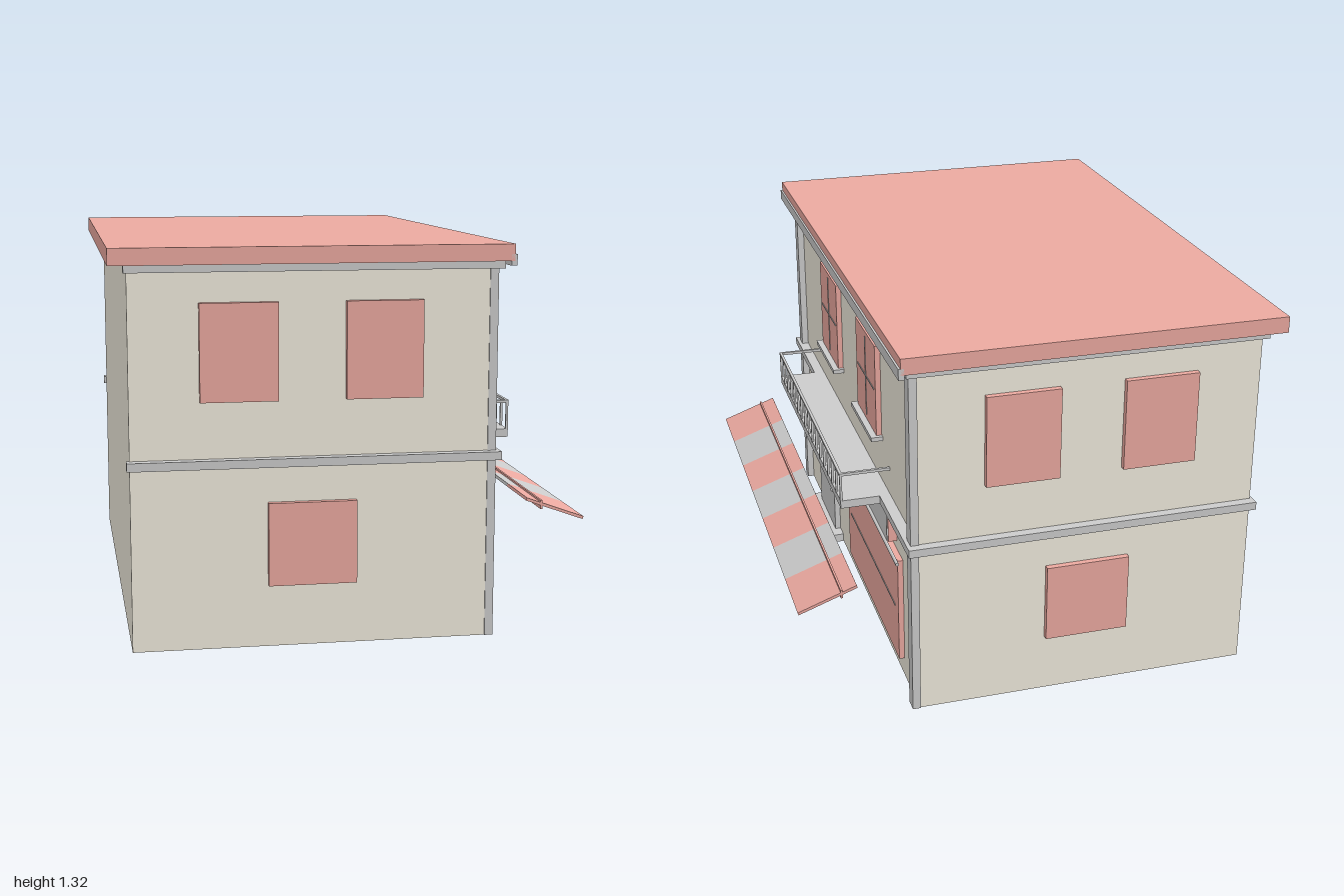
import * as THREE from 'three';

const mat = (color) => new THREE.MeshStandardMaterial({ color });

export function createModel() {
  const house = new THREE.Group();
  house.name = 'house';
  const grey = mat(0xcccccc), red = mat(0xeba9a0), cream = mat(0xf0ebdd);

  // Box given by its minimum and maximum on each axis
  const box = (name, material, x0, x1, y0, y1, z0, z1, parent = house) => {
    const mesh = new THREE.Mesh(new THREE.BoxGeometry(x1 - x0, y1 - y0, z1 - z0), material);
    mesh.position.set((x0 + x1) / 2, (y0 + y1) / 2, (z0 + z1) / 2);
    mesh.name = name;
    parent.add(mesh);
    return mesh;
  };

  // Main body and roof
  box('walls', cream, -0.75, 0.425, 0.015, 1.25, -0.94, 0.94);
  box('roof', red, -0.81, 0.487, 1.27, 1.325, -1, 1);
  box('gutter', grey, 0.475, 0.494, 1.255, 1.292, -1, 1);

  // Belt course and cornice: three sides, open at the rear wall
  for (const [name, y0, y1] of [['beltCourse', 0.617, 0.645], ['cornice', 1.245, 1.27]]) {
    box(name + 'Facade', grey, 0.42, 0.463, y0, y1, -0.973, 0.973);
    for (const s of [-1, 1]) {
      const z = [s * 0.93, s * 0.973].sort((a, b) => a - b);
      box(name + 'Side', grey, -0.76, 0.42, y0, y1, z[0], z[1]);
    }
  }

  // Parts mirrored on both end walls
  for (const s of [-1, 1]) {
    const pillar = [s * 0.895, s * 0.944].sort((a, b) => a - b);
    box('cornerPillar', grey, 0.422, 0.45, 0.015, 1.25, ...pillar);
    const pane = [s * 0.93, s * 0.961].sort((a, b) => a - b);
    box('upperSideWindow', red, -0.525, -0.272, 0.83, 1.147, ...pane);
    box('upperSideWindow', red, -0.052, 0.2, 0.83, 1.147, ...pane);
    box('lowerSideWindow', red, -0.307, -0.016, 0.222, 0.497, ...pane);
  }

  // Upper facade windows with glazing bars and sills
  for (const z of [0.315, -0.312]) {
    box('facadeWindow', red, 0.42, 0.444, 0.82, 1.153, z - 0.146, z + 0.146);
    box('windowBarVertical', grey, 0.44, 0.446, 0.84, 1.135, z - 0.003, z + 0.003);
    box('windowBarHorizontal', grey, 0.44, 0.446, 0.985, 0.991, z - 0.125, z + 0.125);
    box('windowSill', grey, 0.42, 0.466, 0.806, 0.821, z - 0.161, z + 0.161);
  }

  // Shop front: window, door, step and sign board
  box('shopWindow', red, 0.42, 0.444, 0.085, 0.475, -0.735, 0.058);
  box('shopWindowBar', grey, 0.44, 0.446, 0.275, 0.281, -0.69, 0.01);
  box('door', grey, 0.42, 0.446, 0.003, 0.475, 0.332, 0.615);
  const handle = new THREE.Mesh(new THREE.SphereGeometry(0.009, 12, 8), grey);
  handle.position.set(0.447, 0.21, 0.365);
  handle.name = 'doorHandle';
  house.add(handle);
  box('doorStep', grey, 0.425, 0.525, 0.014, 0.046, 0.278, 0.667);
  box('signBoard', red, 0.42, 0.456, 0.51, 0.618, -0.656, 0.656);
  box('signFace', grey, 0.45, 0.46, 0.512, 0.618, -0.651, 0.651);

  // Rod along the facade behind the awning
  const rod = new THREE.Mesh(new THREE.CylinderGeometry(0.006, 0.006, 1.635, 12), grey);
  rod.rotation.x = Math.PI / 2;
  rod.position.set(0.465, 0.51, 0);
  rod.name = 'awningRod';
  house.add(rod);

  // Balcony with a railing
  const balcony = new THREE.Group();
  balcony.name = 'balcony';
  house.add(balcony);
  box('balconySlab', grey, 0.42, 0.6, 0.616, 0.645, -0.57, 0.57, balcony);
  box('frontRail', grey, 0.592, 0.602, 0.738, 0.748, -0.57, 0.57, balcony);
  for (const s of [-1, 1])
    box('sideRail', grey, 0.42, 0.6, 0.738, 0.748, s * 0.565 - 0.005, s * 0.565 + 0.005, balcony);
  for (let i = 0; i < 17; i++) {
    const z = -0.565 + (i * 1.13) / 16;
    box('baluster', grey, 0.593, 0.601, 0.64, 0.742, z - 0.004, z + 0.004, balcony);
  }

  // Sloping awning of seven alternating stripes
  const awning = new THREE.Group();
  awning.name = 'awning';
  awning.position.set(0.7025, 0.407, 0);
  awning.rotation.z = -Math.atan2(0.073, 0.204);
  house.add(awning);
  const stripe = 1.616 / 7;
  for (let i = 0; i < 7; i++) {
    const z = -0.808 + i * stripe;
    box('awningStripe', i % 2 ? grey : red, -0.108, 0.108, -0.005, 0.005, z, z + stripe, awning);
  }
  box('awningBar', red, 0.651, 0.658, 0.407, 0.437, -0.808, 0.808);

  return house;
}
